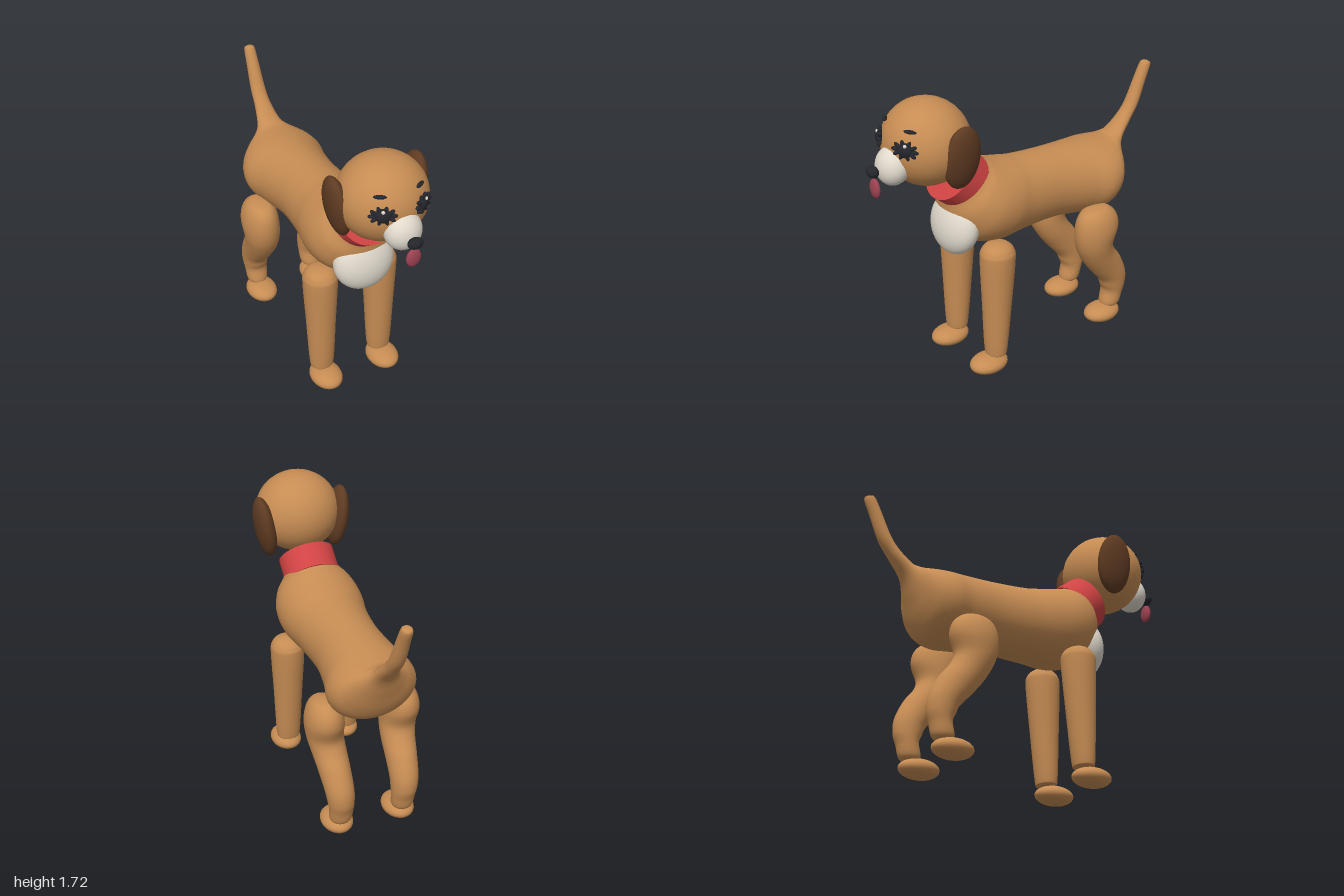
import * as THREE from 'three';

const mat = (name, color) => {
  const m = new THREE.MeshStandardMaterial({ color });
  m.name = name;
  return m;
};

export function createModel() {
  const dog = new THREE.Group();
  dog.name = 'dog';
  const fur = mat('tan fur', 0xc68c53);
  const earFur = mat('dark brown fur', 0x5f3b22);
  const cream = mat('cream', 0xe0d9cc);
  const red = mat('red', 0xd04343);
  const black = mat('black', 0x24262c);
  const pink = mat('tongue pink', 0x9e4252);

  const add = (name, geometry, material, parent = dog) => {
    const mesh = new THREE.Mesh(geometry, material);
    mesh.name = name;
    parent.add(mesh);
    return mesh;
  };
  const ellipsoid = (name, material, pos, radii, rot = [0, 0, 0], parent = dog) => {
    const mesh = add(name, new THREE.SphereGeometry(1, 32, 20), material, parent);
    mesh.position.set(...pos);
    mesh.scale.set(...radii);
    mesh.rotation.set(...rot);
    return mesh;
  };

  // Smooth skin over elliptical sections [az, ay, bz, by, halfWidth, centreX]
  const loft = (sections, rings = 80, sides = 36) => {
    const curve = (f) => new THREE.CatmullRomCurve3(sections.map(f), false, 'centripetal');
    const spline = (f) => new THREE.SplineCurve(sections.map((s) => new THREE.Vector2(...f(s))));
    const edgeA = spline((s) => [s[0], s[1]]);
    const edgeB = spline((s) => [s[2], s[3]]);
    const width = spline((s) => [s[4], s[5] || 0]);
    const pos = [], index = [];
    for (let i = 0; i <= rings; i++) {
      const t = i / rings;
      const a = edgeA.getPoint(t), b = edgeB.getPoint(t), w = width.getPoint(t);
      for (let j = 0; j < sides; j++) {
        const q = (j / sides) * Math.PI * 2, k = (1 + Math.cos(q)) / 2;
        pos.push(w.y + Math.max(w.x, 0) * Math.sin(q), b.y + (a.y - b.y) * k, b.x + (a.x - b.x) * k);
        if (i < rings) {
          const p = i * sides + j, n = i * sides + ((j + 1) % sides);
          index.push(p, n, p + sides, n, n + sides, p + sides);
        }
      }
    }
    const g = new THREE.BufferGeometry();
    g.setAttribute('position', new THREE.Float32BufferAttribute(pos, 3));
    g.setIndex(index);
    g.computeVertexNormals();
    return g;
  };

  // Neck, trunk and tail in one skin: upper edge, lower edge, half width
  add('bodyAndTail', loft([
    [0.36, 1.34, 0.54, 1.13, 0.13],
    [0.28, 1.28, 0.53, 1.08, 0.165],
    [0.24, 1.262, 0.515, 0.97, 0.215],
    [0.18, 1.243, 0.43, 0.84, 0.25],
    [0.1, 1.225, 0.28, 0.775, 0.248],
    [0, 1.207, 0.07, 0.772, 0.217],
    [-0.2, 1.19, -0.18, 0.765, 0.2],
    [-0.4, 1.175, -0.38, 0.735, 0.225],
    [-0.52, 1.163, -0.5, 0.73, 0.255],
    [-0.6, 1.155, -0.59, 0.77, 0.238],
    [-0.65, 1.153, -0.645, 0.85, 0.19],
    [-0.68, 1.163, -0.69, 0.965, 0.125],
    [-0.71, 1.18, -0.74, 1.09, 0.075],
    [-0.78, 1.25, -0.83, 1.195, 0.05],
    [-0.83, 1.32, -0.9, 1.29, 0.044],
    [-0.89, 1.45, -0.96, 1.43, 0.037],
    [-0.93, 1.53, -0.996, 1.515, 0.032],
    [-0.95, 1.545, -0.985, 1.537, 0.018],
    [-0.968, 1.545, -0.968, 1.545, 0],
  ], 120), fur);

  ellipsoid('chestPatch', cream, [0, 0.932, 0.455], [0.182, 0.18, 0.105], [-0.2, 0, 0]);

  // Collar, tilted along the neck
  const collar = add('collar', new THREE.CylinderGeometry(0.163, 0.163, 0.145, 48), red);
  collar.position.set(0, 1.207, 0.433);
  collar.rotation.x = Math.atan2(0.77, 0.63);

  // Legs: back edge, front edge, half width, centre x
  const frontLeg = [
    [0.305, 0.836, 0.305, 0.836, 0, 0.19],
    [0.245, 0.822, 0.365, 0.822, 0.06, 0.19],
    [0.21, 0.785, 0.4, 0.785, 0.093, 0.19],
    [0.204, 0.72, 0.408, 0.72, 0.1, 0.19],
    [0.228, 0.45, 0.4, 0.45, 0.087, 0.19],
    [0.26, 0.15, 0.388, 0.15, 0.073, 0.19],
    [0.275, 0.11, 0.375, 0.11, 0.055, 0.19],
    [0.325, 0.09, 0.325, 0.09, 0, 0.19],
  ];
  const hindLeg = [
    [-0.405, 0.838, -0.405, 0.838, 0, 0.225],
    [-0.48, 0.828, -0.32, 0.82, 0.06, 0.225],
    [-0.535, 0.775, -0.275, 0.77, 0.095, 0.226],
    [-0.547, 0.7, -0.262, 0.68, 0.11, 0.226],
    [-0.515, 0.6, -0.28, 0.58, 0.105, 0.22],
    [-0.54, 0.53, -0.33, 0.48, 0.098, 0.21],
    [-0.6, 0.45, -0.405, 0.38, 0.09, 0.203],
    [-0.652, 0.34, -0.475, 0.3, 0.083, 0.197],
    [-0.66, 0.25, -0.497, 0.25, 0.077, 0.193],
    [-0.64, 0.18, -0.515, 0.2, 0.07, 0.19],
    [-0.625, 0.12, -0.5, 0.12, 0.063, 0.19],
    [-0.6, 0.095, -0.52, 0.095, 0.04, 0.19],
    [-0.56, 0.088, -0.56, 0.088, 0, 0.19],
  ];

  // Head, muzzle, nose and tongue
  ellipsoid('head', fur, [0, 1.482, 0.63], [0.25, 0.239, 0.241]);
  ellipsoid('muzzle', cream, [0, 1.403, 0.845], [0.105, 0.108, 0.088], [-0.25, 0, 0]);
  ellipsoid('nose', black, [0, 1.402, 0.97], [0.043, 0.032, 0.03]);
  ellipsoid('tongue', pink, [0, 1.303, 0.96], [0.043, 0.056, 0.02]);

  // Paired parts
  for (const [side, s] of [['left', 1], ['right', -1]]) {
    const place = (sections) => sections.map((r) => [...r.slice(0, 5), r[5] * s]);
    add(side + 'FrontLeg', loft(place(frontLeg)), fur);
    add(side + 'HindLeg', loft(place(hindLeg)), fur);
    ellipsoid(side + 'FrontPaw', fur, [s * 0.19, 0.06, 0.377], [0.092, 0.055, 0.12]);
    ellipsoid(side + 'HindPaw', fur, [s * 0.19, 0.06, -0.502], [0.092, 0.055, 0.12]);
    ellipsoid(side + 'Ear', earFur, [s * 0.226, 1.442, 0.56], [0.058, 0.187, 0.112], [0, 0, -s * 0.15]);
    ellipsoid(side + 'Eyebrow', black, [s * 0.116, 1.62, 0.805], [0.035, 0.011, 0.013], [-0.3, s * 0.6, s * 0.12]);

    // Eye with a ring of chunky lashes and a small glint
    const eye = new THREE.Group();
    eye.name = side + 'Eye';
    eye.position.set(s * 0.118, 1.528, 0.842);
    eye.rotation.set(-0.15, s * 0.55, 0);
    dog.add(eye);
    ellipsoid('eyeball', black, [0, 0, 0], [0.042, 0.04, 0.022], [0, 0, 0], eye);
    for (let i = 0; i < 10; i++) {
      const a = (i / 10) * Math.PI * 2;
      ellipsoid('lash', black, [0.055 * Math.cos(a), 0.033 * Math.sin(a), 0],
        [0.022, 0.011, 0.012], [0, 0, a], eye);
    }
    ellipsoid('glint', cream, [0.004, 0.028, 0.017], [0.01, 0.01, 0.006], [0, 0, 0], eye);
  }
  return dog;
}
